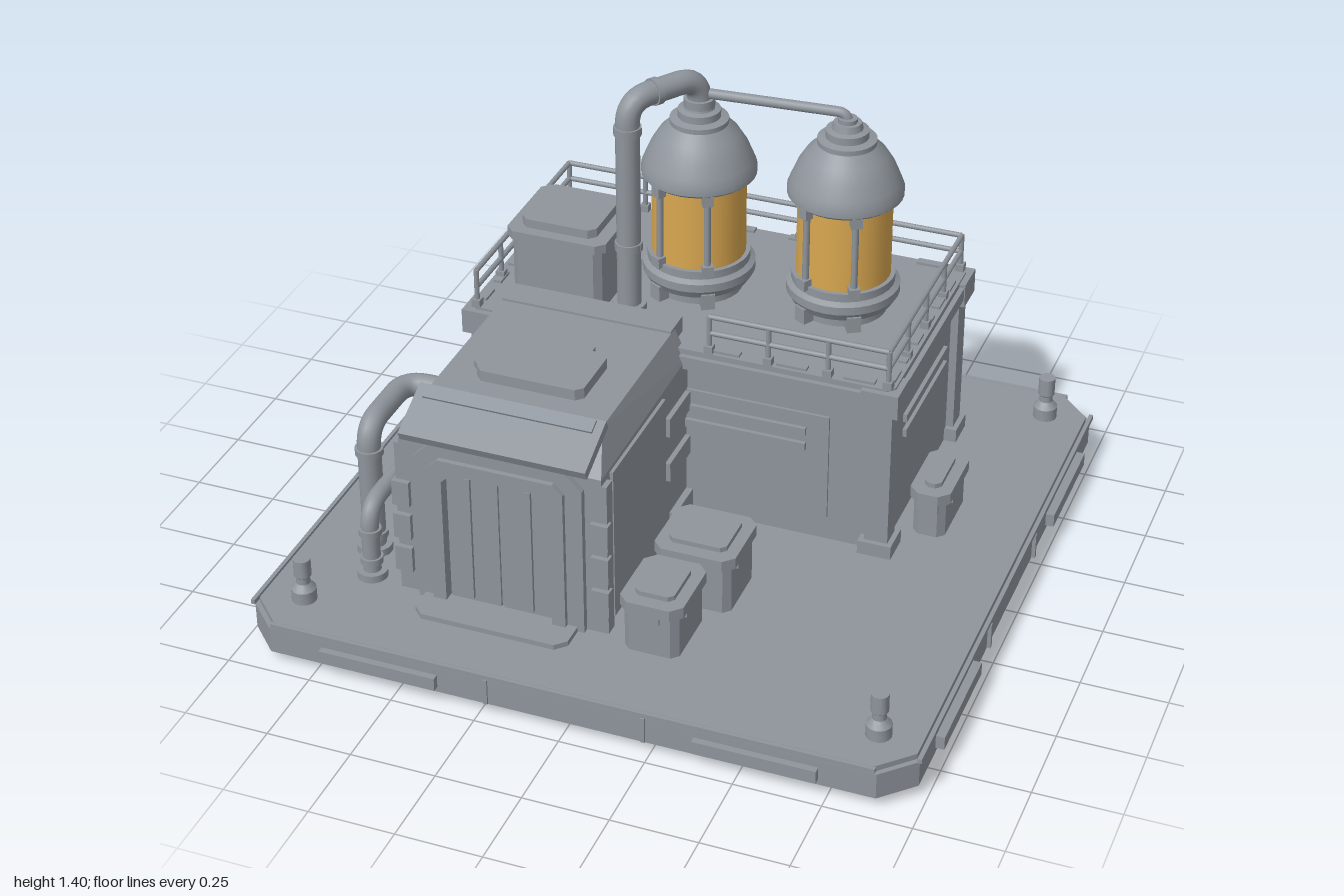
import * as THREE from 'three';
import { toCreasedNormals } from 'three/addons/utils/BufferGeometryUtils.js';
import { ConvexGeometry } from 'three/addons/geometries/ConvexGeometry.js';

const grey = new THREE.MeshStandardMaterial({ color: 0x8f959c });
grey.name = 'grey metal';
const amber = new THREE.MeshStandardMaterial({ color: 0xd9a750 });
amber.name = 'amber glass';

const V = (x, y, z) => new THREE.Vector3(x, y, z);

function add(parent, name, geo, x = 0, y = 0, z = 0, mat = grey) {
  const m = new THREE.Mesh(geo, mat);
  m.name = name;
  m.position.set(x, y, z);
  parent.add(m);
  return m;
}

function group(parent, name, x = 0, y = 0, z = 0, ry = 0) {
  const g = new THREE.Group();
  g.name = name;
  g.position.set(x, y, z);
  g.rotation.y = ry;
  parent.add(g);
  return g;
}

// Box given by its limits
function box(parent, name, x0, x1, y0, y1, z0, z1) {
  return add(parent, name, new THREE.BoxGeometry(x1 - x0, y1 - y0, z1 - z0),
    (x0 + x1) / 2, (y0 + y1) / 2, (z0 + z1) / 2);
}

// Upright slab with cut corners
function slab(parent, name, x0, x1, y0, y1, z0, z1, c) {
  const a = (x1 - x0) / 2, b = (z1 - z0) / 2;
  const s = new THREE.Shape([[a, b - c], [a - c, b], [c - a, b], [-a, b - c], [-a, c - b], [c - a, -b], [a - c, -b], [a, c - b]]
    .map(p => new THREE.Vector2(...p)));
  const g = new THREE.ExtrudeGeometry(s, { depth: y1 - y0, bevelEnabled: false }).rotateX(-Math.PI / 2);
  return add(parent, name, g, (x0 + x1) / 2, y0, (z0 + z1) / 2);
}

const lathe = (pts, n = 32) =>
  toCreasedNormals(new THREE.LatheGeometry(pts.map(p => new THREE.Vector2(...p)), n), 0.5);

// Pipe through corner points with rounded bends of the given radius
function pipe(parent, name, pts, r, bend) {
  const path = new THREE.CurvePath();
  let from = pts[0];
  for (let i = 1; i < pts.length - 1; i++) {
    const p = pts[i];
    const a = p.clone().add(pts[i - 1].clone().sub(p).setLength(bend));
    const b = p.clone().add(pts[i + 1].clone().sub(p).setLength(bend));
    path.add(new THREE.LineCurve3(from, a));
    path.add(new THREE.QuadraticBezierCurve3(a, p, b));
    from = b;
  }
  path.add(new THREE.LineCurve3(from, pts[pts.length - 1]));
  return add(parent, name, new THREE.TubeGeometry(path, 72, r, 16, false));
}

function bar(parent, name, a, b, r, sides = 8) {
  const m = add(parent, name, new THREE.CylinderGeometry(r, r, a.distanceTo(b), sides));
  m.position.copy(a).add(b).multiplyScalar(0.5);
  m.quaternion.setFromUnitVectors(V(0, 1, 0), b.clone().sub(a).normalize());
  return m;
}

// Raised frame with two louvre bars, facing +z
function wallPanel(parent, w, h, x, y, z, ry) {
  const g = group(parent, 'wallPanel', x, y, z, ry);
  box(g, 'panelPlate', -w / 2, w / 2, -h / 2, h / 2, -0.01, 0.008);
  for (const yy of [0.05, 0.1]) box(g, 'louvreBar', -w * 0.38, w * 0.38, yy, yy + 0.025, 0, 0.02);
}

function crate(parent, x0, x1, z0, z1, h) {
  const g = group(parent, 'crate'), y = 0.13, t = y + h;
  slab(g, 'crateBody', x0 + 0.012, x1 - 0.012, y, t - 0.05, z0 + 0.012, z1 - 0.012, 0.02);
  slab(g, 'crateLid', x0, x1, t - 0.05, t - 0.015, z0, z1, 0.03);
  slab(g, 'crateTop', x0 + 0.035, x1 - 0.035, t - 0.015, t, z0 + 0.04, z1 - 0.04, 0.015);
  const cx = (x0 + x1) / 2, cz = (z0 + z1) / 2;
  box(g, 'crateLatch', cx - 0.03, cx + 0.03, t - 0.075, t - 0.045, z0 + 0.004, z1 - 0.004);
  box(g, 'crateHandle', x0 + 0.004, x1 - 0.004, t - 0.075, t - 0.045, cz - 0.05, cz + 0.05);
}

function tank(parent, x, z) {
  const g = group(parent, 'tank', x, 0.69, z);
  add(g, 'tankBase', lathe([[0, 0], [0.13, 0], [0.13, 0.025], [0.15, 0.035], [0.165, 0.06], [0.165, 0.085],
    [0.15, 0.095], [0.15, 0.12], [0, 0.12]]));
  add(g, 'tankGlass', new THREE.CylinderGeometry(0.137, 0.137, 0.27, 32, 1, true), 0, 0.245, 0, amber);
  add(g, 'tankDome', lathe([[0, 0.365], [0.155, 0.365], [0.167, 0.375], [0.167, 0.395], [0.157, 0.42], [0.14, 0.46],
    [0.115, 0.5], [0.085, 0.53], [0.085, 0.545], [0.062, 0.55], [0.062, 0.572], [0.045, 0.576], [0.04, 0.595], [0, 0.595]]));
  for (const deg of [30, 150, 210, 330]) {
    const a = THREE.MathUtils.degToRad(deg);
    const s = group(g, 'tankStrut', Math.sin(a) * 0.145, 0, Math.cos(a) * 0.145, a);
    add(s, 'strutRod', new THREE.CylinderGeometry(0.01, 0.01, 0.28, 8), 0, 0.245, 0);
    for (const y of [0.125, 0.355]) box(s, 'strutClamp', -0.016, 0.016, y - 0.016, y + 0.016, -0.015, 0.018);
    box(s, 'tankFoot', -0.02, 0.02, 0, 0.05, -0.02, 0.02);
  }
}

export function createModel() {
  const model = new THREE.Group();
  model.name = 'processingStation';

  // Platform
  const base = group(model, 'platform');
  slab(base, 'platformFoot', -0.94, 0.94, 0, 0.04, -0.92, 0.92, 0.08);
  slab(base, 'platformDeck', -0.975, 0.975, 0.035, 0.115, -0.96, 0.96, 0.09);
  slab(base, 'platformTop', -0.965, 0.965, 0.115, 0.132, -0.95, 0.95, 0.09);
  for (let i = 0; i < 4; i++) {
    const side = group(base, 'platformSide', 0, 0, 0, i * Math.PI / 2);
    const d = i % 2 ? 0.985 : 0.965;
    for (const s of [-1, 1]) {
      add(side, 'sidePlate', new THREE.BoxGeometry(0.35, 0.04, 0.03), s * 0.55, 0.072, d);
      add(side, 'sideSeam', new THREE.BoxGeometry(0.012, 0.08, 0.012), s * 0.23, 0.077, d - 0.005);
    }
    add(side, 'sideRim', new THREE.BoxGeometry(1.76, 0.014, 0.012), 0, 0.125, d - 0.008);
  }
  for (const x of [-0.845, 0.845]) for (const z of [-0.825, 0.82])
    add(base, 'bollard', lathe([[0, 0], [0.036, 0], [0.036, 0.04], [0.02, 0.06], [0.02, 0.08], [0.025, 0.085], [0.025, 0.14], [0, 0.14]], 16), x, 0.13, z);

  // Main building
  const hall = group(model, 'mainBuilding');
  box(hall, 'hallWalls', -0.64, 0.595, 0.13, 0.64, -0.645, 0.025);
  slab(hall, 'roofLip', -0.68, 0.635, 0.635, 0.675, -0.685, 0.062, 0.02);
  slab(hall, 'roofTop', -0.665, 0.62, 0.675, 0.692, -0.67, 0.047, 0.02);
  for (const x of [-0.628, 0.583]) for (const z of [-0.635, 0.012]) {
    box(hall, 'cornerColumn', x - 0.035, x + 0.035, 0.13, 0.64, z - 0.035, z + 0.035);
    box(hall, 'columnFoot', x - 0.05, x + 0.05, 0.13, 0.175, z - 0.05, z + 0.05);
    box(hall, 'columnCap', x - 0.055, x + 0.055, 0.61, 0.685, z - 0.052, z + 0.052);
  }
  wallPanel(hall, 0.56, 0.34, 0.15, 0.38, 0.025, 0);
  wallPanel(hall, 0.52, 0.4, 0.595, 0.39, -0.31, Math.PI / 2);
  wallPanel(hall, 0.98, 0.38, -0.02, 0.38, -0.645, Math.PI);
  box(hall, 'leftWallRib', -0.655, -0.64, 0.13, 0.64, -0.05, -0.02);
  for (let i = 0; i < 6; i++) {
    const x = -0.53 + i * 0.2, z = -0.58 + i * 0.105;
    box(hall, 'roofVent', x, x + 0.09, 0.69, 0.7, -0.665, -0.64);
    if (x > 0) box(hall, 'roofVent', x, x + 0.09, 0.69, 0.7, 0.012, 0.037);
    for (const vx of [-0.655, 0.585]) box(hall, 'roofVent', vx, vx + 0.025, 0.69, 0.7, z, z + 0.06);
  }

  // Roof railing
  const rail = group(model, 'railing');
  const runs = [[0.07, 0.035, 0.6, 0.035, 3], [0.6, 0.035, 0.6, -0.655, 4], [0.6, -0.655, -0.645, -0.655, 5], [-0.645, -0.655, -0.645, 0.035, 4]];
  for (const [xa, za, xb, zb, n] of runs) {
    for (const y of [0.755, 0.808]) bar(rail, 'railBar', V(xa, y, za), V(xb, y, zb), 0.008);
    for (let i = 0; i <= n; i++) {
      const x = xa + (xb - xa) * i / n, z = za + (zb - za) * i / n;
      bar(rail, 'railPost', V(x, 0.69, z), V(x, 0.81, z), 0.008);
      box(rail, 'postFoot', x - 0.013, x + 0.013, 0.69, 0.715, z - 0.013, z + 0.013);
    }
  }

  // Tanks and their pipes
  tank(model, -0.095, -0.32);
  tank(model, 0.337, -0.35);
  const main = group(model, 'mainPipe');
  pipe(main, 'mainPipeTube', [V(-0.23, 0.69, -0.11), V(-0.23, 1.362, -0.11), V(-0.095, 1.362, -0.32), V(-0.095, 1.27, -0.32)], 0.035, 0.075);
  for (const [x, y, z, r] of [[-0.23, 0.7, -0.11, 0.05], [-0.23, 0.9, -0.11, 0.04], [-0.23, 1.27, -0.11, 0.04], [-0.095, 1.285, -0.32, 0.045]])
    add(main, 'pipeCollar', new THREE.CylinderGeometry(r, r, 0.025, 20), x, y, z);
  bar(main, 'pipeCollar', V(-0.184, 1.362, -0.181), V(-0.173, 1.362, -0.198), 0.04, 20);
  box(main, 'pipeBracket', -0.27, -0.19, 0.89, 0.91, -0.12, -0.1);
  pipe(model, 'linkPipe', [V(-0.095, 1.312, -0.32), V(0.337, 1.312, -0.35), V(0.337, 1.26, -0.35)], 0.015, 0.03);
  add(model, 'linkPipeCollar', new THREE.CylinderGeometry(0.028, 0.028, 0.025, 16), 0.337, 1.285, -0.35);

  // Rooftop housing
  const unit = group(model, 'roofUnit');
  slab(unit, 'unitBody', -0.57, -0.295, 0.69, 0.89, -0.32, -0.045, 0.02);
  slab(unit, 'unitLip', -0.585, -0.28, 0.89, 0.918, -0.33, -0.035, 0.025);
  slab(unit, 'unitLid', -0.55, -0.32, 0.918, 0.945, -0.29, -0.07, 0.02);

  // Entrance module
  const porch = group(model, 'entrance');
  const hull = [];
  for (const s of [-1, 1]) for (const [hx, y, z] of [[0.3, 0.13, 0.02], [0.3, 0.13, 0.67], [0.3, 0.65, 0.02], [0.3, 0.64, 0.67], [0.26, 0.735, 0.02], [0.26, 0.735, 0.56]])
    hull.push(V(-0.3 + s * hx, y, z));
  add(porch, 'entranceBody', new ConvexGeometry(hull));
  slab(porch, 'entranceRoofPlate', -0.49, -0.2, 0.73, 0.755, 0.2, 0.42, 0.02);
  slab(porch, 'entranceRoofHatch', -0.46, -0.14, 0.73, 0.768, 0.26, 0.465, 0.02);
  box(porch, 'roofJoint', -0.56, -0.04, 0.68, 0.742, -0.04, 0.05);
  const visor = add(porch, 'visor', new THREE.BoxGeometry(0.55, 0.03, 0.17), -0.3, 0.712, 0.638);
  visor.rotation.x = 0.44;
  const ridge = add(porch, 'visorRidge', new THREE.BoxGeometry(0.5, 0.02, 0.04), -0.3, 0.748, 0.59);
  ridge.rotation.x = 0.44;
  for (const s of [-1, 1]) {
    const side = group(porch, 'entranceSide', -0.3 + s * 0.3, 0, 0, s * Math.PI / 2);
    side.scale.x = s;
    box(side, 'sidePanel', -0.61, -0.22, 0.3, 0.63, -0.01, 0.01);
    box(side, 'lowerSidePanel', -0.61, -0.22, 0.15, 0.3, -0.01, 0.01);
    box(side, 'sideSkirt', -0.17, -0.03, 0.13, 0.21, -0.01, 0.02);
    for (const y of [0.34, 0.49]) box(side, 'sideLouvre', -0.2, -0.04, y, y + 0.06, -0.01, 0.015);
    box(side, 'cornerPost', -0.67, -0.63, 0.13, 0.62, -0.01, 0.015);
    for (const y of [0.2, 0.31, 0.42]) box(side, 'postLamp', -0.685, -0.655, y, y + 0.08, -0.03, 0.022);
  }

  // Stepped door surround and double door
  const outline = (w, y0, y1, c) => [[-w, y0], [w, y0], [w, y1 - c], [w - c, y1], [c - w, y1], [-w, y1 - c]].map(p => new THREE.Vector2(...p));
  const frame = (name, w, top, c, iw, itop, ic, z, depth) => {
    const s = new THREE.Shape(outline(w, 0.13, top, c));
    s.holes.push(new THREE.Path(outline(iw, 0.145, itop, ic).reverse()));
    add(porch, name, new THREE.ExtrudeGeometry(s, { depth, bevelEnabled: false }), -0.3, 0, z);
  };
  frame('outerSurround', 0.25, 0.66, 0.06, 0.2, 0.61, 0.03, 0.66, 0.03);
  frame('innerSurround', 0.2, 0.615, 0.03, 0.16, 0.575, 0.03, 0.66, 0.045);
  for (const s of [-1, 1]) {
    box(porch, 'doorLeaf', Math.min(0, s * 0.155) - 0.3 + (s > 0 ? 0.004 : 0), Math.max(0, s * 0.155) - 0.3 - (s < 0 ? 0.004 : 0), 0.14, 0.575, 0.66, 0.678);
    box(porch, 'doorRail', -0.3 + s * 0.09 - 0.007, -0.3 + s * 0.09 + 0.007, 0.16, 0.56, 0.67, 0.688);
  }
  slab(porch, 'doorstep', -0.53, -0.07, 0.13, 0.148, 0.6, 0.79, 0.03);

  // Side pipes on the model's right
  const ducts = group(model, 'sidePipes');
  const routes = [[0.55, 0.28, -0.765, 0.53, 0.034], [0.365, 0.43, -0.715, 0.65, 0.026]];
  for (const [y, z0, x, z1, r] of routes) {
    pipe(ducts, 'sidePipe', [V(-0.6, y, z0), V(x, y, z0), V(x, y, z1), V(x, 0.13, z1)], r, 0.07);
    bar(ducts, 'wallFlange', V(-0.6, y, z0), V(-0.635, y, z0), r + 0.015, 20);
    bar(ducts, 'pipeFlange', V(x, 0.13, z1), V(x, 0.155, z1), r + 0.018, 20);
    for (const t of [0.18, y - 0.09]) bar(ducts, 'pipeCollar', V(x, t, z1), V(x, t + 0.02, z1), r + 0.007, 20);
  }

  // Crates
  crate(model, 0.06, 0.245, 0.49, 0.725, 0.185);
  crate(model, 0.065, 0.305, 0.25, 0.48, 0.2);
  crate(model, 0.635, 0.755, -0.325, -0.08, 0.165);

  return model;
}
